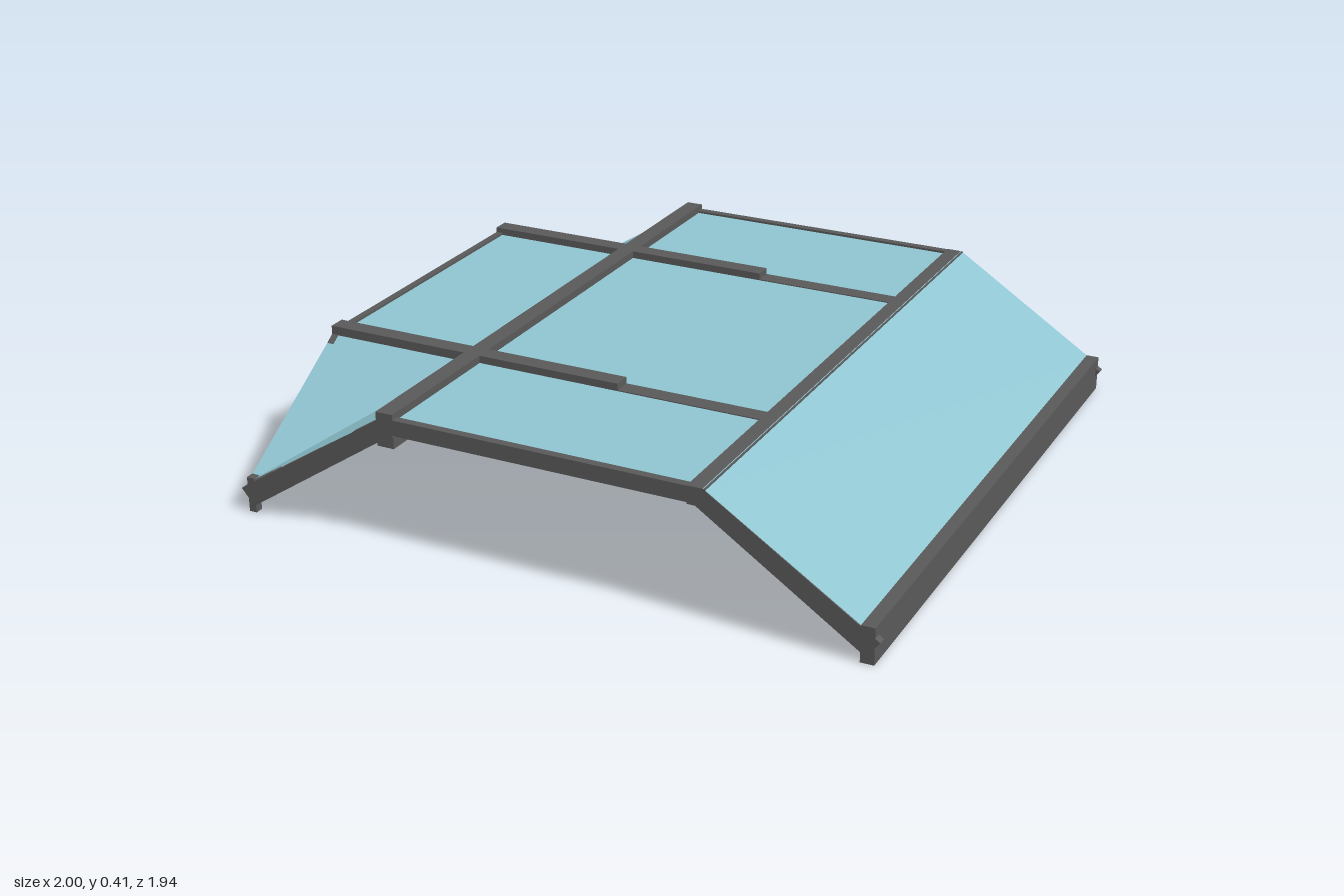
import * as THREE from 'three';

const metal = new THREE.MeshStandardMaterial({ color: 0x595959, flatShading: true });
const glass = new THREE.MeshStandardMaterial({ color: 0x8fc4d0, flatShading: true, side: THREE.DoubleSide });

const shapeOf = (pts) => new THREE.Shape(pts.map(([x, y]) => new THREE.Vector2(x, y)));

function extrude(pts, depth, name) {
  const geo = new THREE.ExtrudeGeometry(shapeOf(pts), { depth, bevelEnabled: false });
  geo.translate(0, 0, -depth / 2);
  const mesh = new THREE.Mesh(geo, metal);
  mesh.name = name;
  return mesh;
}

// Roof bar section: cap above the glass, narrow web, wider foot below it
function bar(name, length, bottom, top) {
  const w = 0.027, web = 0.02, foot = bottom + (top - bottom) * 0.35;
  return extrude([
    [-w, bottom], [w, bottom], [w, foot], [web, foot + 0.005], [web, 0.38], [w, 0.385],
    [w, top], [-w, top], [-w, 0.385], [-web, 0.38], [-web, foot + 0.005], [-w, foot],
  ], length, name);
}

// Bent edge frame: rafter, level span, rafter
function edgeFrame(name, reach, depth) {
  const half = [[0.465, 0.35], [reach - 0.04, 0.02], [reach, 0.07], [0.495, 0.398]];
  const mirrored = half.map(([x, y]) => [-x, y]).reverse();
  return extrude([...half, ...mirrored], depth, name);
}

// Flat pane fanned from its corner points
function pane(name, pts) {
  const index = [];
  for (let i = 1; i < pts.length - 1; i++) index.push(0, i, i + 1);
  const geo = new THREE.BufferGeometry();
  geo.setAttribute('position', new THREE.Float32BufferAttribute(pts.flat(), 3));
  geo.setIndex(index);
  geo.computeVertexNormals();
  const mesh = new THREE.Mesh(geo, glass);
  mesh.name = name;
  return mesh;
}

export function createModel() {
  const model = new THREE.Group();
  const box = (name, x0, x1, y0, y1, z0, z1) => {
    const mesh = new THREE.Mesh(new THREE.BoxGeometry(x1 - x0, y1 - y0, z1 - z0), metal);
    mesh.position.set((x0 + x1) / 2, (y0 + y1) / 2, (z0 + z1) / 2);
    mesh.name = name;
    model.add(mesh);
  };
  const Z = 0.972, X = -0.978, H = 0.391;

  // Long bars from front to back
  const hipBar = bar('hipBar', 2 * Z, 0.31, 0.414);
  hipBar.position.x = -0.485;
  const ridgeBar = bar('ridgeBar', 2 * Z, 0.345, 0.399);
  ridgeBar.position.x = 0.475;
  model.add(hipBar, ridgeBar);

  for (const s of [-1, 1]) {
    // Cross bars: raised left half, lower right half
    for (const [x0, x1, top] of [[X, 0, 0.414], [0, 0.455, 0.394]]) {
      const crossBar = bar('crossBar', x1 - x0, 0.31, top);
      crossBar.rotation.y = Math.PI / 2;
      crossBar.position.set((x0 + x1) / 2, 0, s * 0.483);
      model.add(crossBar);
    }

    // Front and back frames
    const gableFrame = edgeFrame('gableFrame', 1, 0.025);
    gableFrame.position.z = s * (Z - 0.0125);
    model.add(gableFrame);

    // Corner foot at the low left corners
    const z = s * (Z - 0.013);
    box('cornerFoot', X, X + 0.024, 0, 0.11, z - 0.013, z + 0.013);

    // Two valley panes folding down to each left corner
    const valley = [-0.49, H + 0.008, s * 0.49], corner = [X, 0.092, s * Z];
    model.add(
      pane('cornerPane', [valley, [-0.49, H + 0.008, s * Z], corner]),
      pane('cornerPane', [valley, corner, [X, H + 0.008, s * 0.49]]),
    );

    // Flat end panes
    model.add(pane('endPane', [
      [-0.49, H, s * 0.483], [0.49, H, s * 0.483], [0.49, H, s * Z], [-0.49, H, s * Z],
    ]));
  }

  // Left side frame
  const sideFrame = edgeFrame('sideFrame', Z, 0.022);
  sideFrame.rotation.y = Math.PI / 2;
  sideFrame.position.x = X + 0.011;
  model.add(sideFrame);

  // Eave beam along the low right edge
  box('eaveBeam', 0.945, 0.985, 0, 0.11, -Z, Z);

  // Centre pane and the long sloping right pane
  model.add(
    pane('centrePane', [[X, H, 0.483], [0.49, H, 0.483], [0.49, H, -0.483], [X, H, -0.483]]),
    pane('slopePane', [[0.495, 0.4, Z], [0.96, 0.1, Z], [0.96, 0.1, -Z], [0.495, 0.4, -Z]]),
  );
  return model;
}
